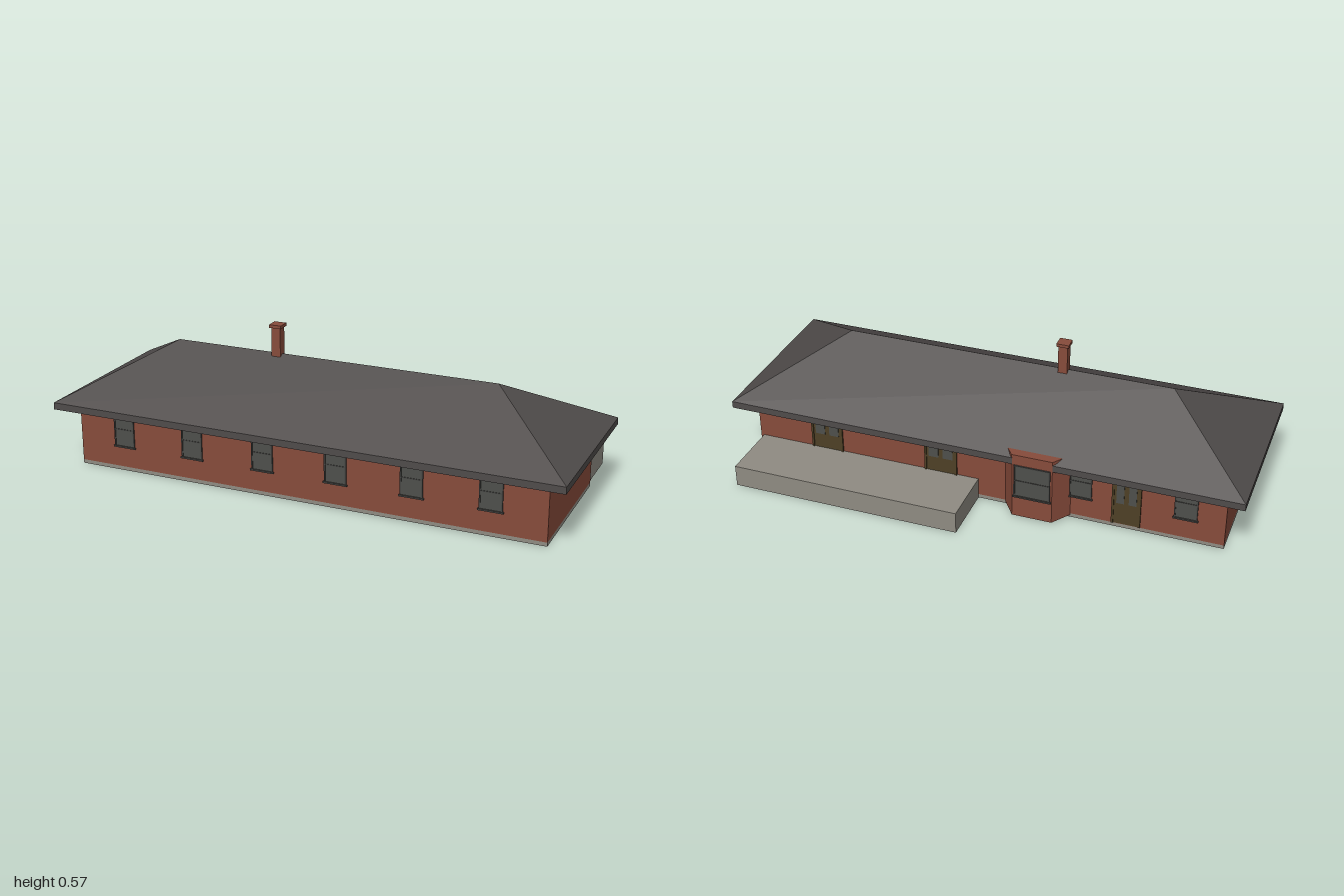
import * as THREE from 'three';

const mat = (name, color) => {
  const m = new THREE.MeshStandardMaterial({ color });
  m.name = name;
  return m;
};

export function createModel() {
  const brick = mat('brick', 0x874b3b);
  const slate = mat('slate', 0x4f4b4a);
  const stone = mat('stone', 0x8f8b82);
  const glass = mat('glass', 0x4e4f4b);
  const frameGrey = mat('frame grey', 0x454543);
  const timber = mat('door timber', 0x4e4026);

  const model = new THREE.Group();
  model.name = 'stationBuilding';

  // Box given by its limits on each axis
  const box = (name, m, x0, x1, y0, y1, z0, z1, parent = model) => {
    const mesh = new THREE.Mesh(new THREE.BoxGeometry(x1 - x0, y1 - y0, z1 - z0), m);
    mesh.name = name;
    mesh.position.set((x0 + x1) / 2, (y0 + y1) / 2, (z0 + z1) / 2);
    parent.add(mesh);
    return mesh;
  };

  const FRONT = 0.368, BACK = -0.2, EAVE = 0.235, RIDGE_Z = 0.083;

  // Walls, plinth and rear platform
  box('plinth', stone, -0.927, 0.927, 0, 0.015, BACK, FRONT);
  box('walls', brick, -0.927, 0.927, 0.015, EAVE, BACK, FRONT);
  box('platform', stone, 0.015, 0.915, 0, 0.085, -0.437, BACK);

  // Hipped roof on a flat eaves slab
  box('eavesSlab', slate, -1, 1, 0.233, 0.26, -0.27, 0.437);
  const hip = new THREE.BufferGeometry();
  hip.setAttribute('position', new THREE.Float32BufferAttribute([
    -1, 0.26, 0.437, 1, 0.26, 0.437, 1, 0.26, -0.27, -1, 0.26, -0.27,
    -0.645, 0.456, RIDGE_Z, 0.645, 0.456, RIDGE_Z,
  ], 3));
  hip.setIndex([0, 1, 5, 0, 5, 4, 1, 2, 5, 2, 3, 4, 2, 4, 5, 3, 0, 4]);
  const roofGeometry = hip.toNonIndexed();
  roofGeometry.computeVertexNormals();
  const roof = new THREE.Mesh(roofGeometry, slate);
  roof.name = 'hippedRoof';
  model.add(roof);

  // Chimney with a wider cap
  const cx = -0.222;
  box('chimneyStack', brick, cx - 0.018, cx + 0.018, 0.4, 0.558, RIDGE_Z - 0.018, RIDGE_Z + 0.018);
  box('chimneyCap', brick, cx - 0.024, cx + 0.024, 0.558, 0.57, RIDGE_Z - 0.024, RIDGE_Z + 0.024);

  // Canted bay at the back: a trapezium raised to its height
  const BAY_X = -0.22;
  const bayPart = (name, frontHalf, backHalf, zFront, y0, y1) => {
    const s = new THREE.Shape([
      new THREE.Vector2(-backHalf, -BACK), new THREE.Vector2(backHalf, -BACK),
      new THREE.Vector2(frontHalf, -zFront), new THREE.Vector2(-frontHalf, -zFront),
    ]);
    const g = new THREE.ExtrudeGeometry(s, { depth: y1 - y0, bevelEnabled: false });
    g.rotateX(-Math.PI / 2);
    const mesh = new THREE.Mesh(g, brick);
    mesh.name = name;
    mesh.position.set(BAY_X, y0, 0);
    model.add(mesh);
  };
  bayPart('bay', 0.077, 0.127, -0.271, 0.008, 0.266);
  bayPart('bayCap', 0.078, 0.132, -0.275, 0.264, 0.278);

  // Places an opening built facing +z onto the front or back wall
  const place = (name, x, z, back) => {
    const g = new THREE.Group();
    g.name = name;
    g.position.set(x, 0, z);
    if (back) g.rotation.y = Math.PI;
    model.add(g);
    return g;
  };

  // Sash window: glass, surround, meeting rail and sill
  const addWindow = (name, x, z, back, w = 0.086) => {
    const g = place(name, x, z, back), h = w / 2, y0 = 0.1, y1 = 0.233, t = 0.005;
    box('glass', glass, -h, h, y0, y1, 0, 0.002, g);
    for (const s of [-1, 1]) {
      const c = s * (h - t / 2);
      box('jamb', frameGrey, c - t / 2, c + t / 2, y0, y1, 0, t, g);
    }
    box('headRail', frameGrey, -h, h, y1 - t, y1, 0, t, g);
    box('meetingRail', frameGrey, -h, h, 0.164, 0.168, 0, 0.004, g);
    box('sill', frameGrey, -h - 0.004, h + 0.004, 0.094, y0, 0, 0.008, g);
  };

  // Timber door: frame, leaves and a glazed upper pane per leaf
  const addDoor = (name, x, w, y0, leaves) => {
    const g = place(name, x, BACK, true), h = w / 2, y1 = 0.233, t = 0.008;
    box('leaves', timber, -h, h, y0, y1, 0, 0.003, g);
    for (const s of [-1, 1]) {
      const c = s * (h - t / 2);
      box('jamb', timber, c - t / 2, c + t / 2, y0, y1, 0, 0.007, g);
    }
    box('transom', timber, -h, h, y1 - t, y1, 0, 0.007, g);
    const leafW = (w - 2 * t) / leaves;
    for (let i = 0; i < leaves; i++) {
      const c = -h + t + leafW * (i + 0.5), p = leafW / 2 - 0.009;
      box('pane', glass, c - p, c + p, y0 + (y1 - y0) * 0.42, y1 - 0.02, 0.002, 0.005, g);
    }
  };

  for (let i = 0; i < 6; i++) addWindow('frontWindow', -0.735 + 0.2915 * i, FRONT, false);
  for (const x of [-0.385, -0.78]) addWindow('backWindow', x, BACK, true);
  addWindow('bayWindow', BAY_X, -0.271, true, 0.14);
  for (const x of [0.165, 0.635]) addDoor('platformDoor', x, 0.13, 0.085, 2);
  addDoor('backDoor', -0.56, 0.11, 0.018, 2);

  return model;
}
